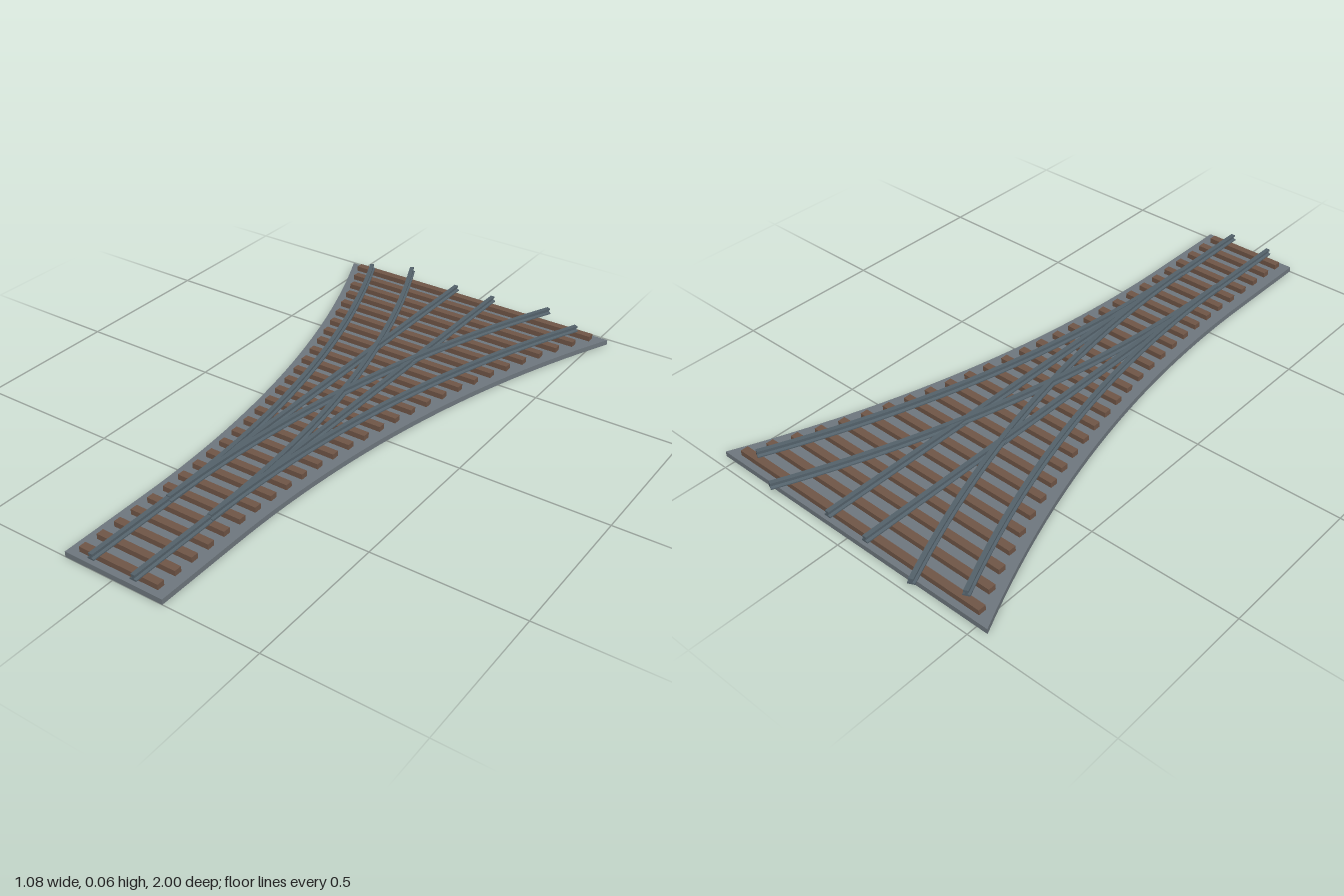
import * as THREE from 'three';

const R = 3.905;            // radius of the diverging tracks
const START = 0.678;        // z where the tracks part
const FRONT = 1, BACK = -0.965;
const SWEEP = 0.4335;       // angle turned by a diverging track
const GAUGE = 0.077;        // half the distance between rails

// sideways offset of the diverging centre line at a given z
const drift = (z) => {
  const d = Math.max(0, START - z);
  return R - Math.sqrt(R * R - d * d);
};

// rail cross-section with foot, web and head
function railProfile() {
  const half = [[0.0115, 0], [0.0115, 0.004], [0.0035, 0.007], [0.0035, 0.012], [0.0075, 0.014], [0.0075, 0.02]];
  const pts = half.concat(half.map(([x, y]) => [-x, y]).reverse());
  return new THREE.Shape(pts.map(([x, y]) => new THREE.Vector2(x, y)));
}

function straightRail(offset) {
  const geo = new THREE.ExtrudeGeometry(railProfile(), { depth: FRONT - BACK, bevelEnabled: false });
  return geo.translate(offset, 0.0355, BACK);
}

// sweep the rail section along an arc bending to one side
function curvedRail(side, offset) {
  const geo = new THREE.ExtrudeGeometry(railProfile(), { depth: 1, steps: 28, bevelEnabled: false });
  const p = geo.attributes.position;
  for (let i = 0; i < p.count; i++) {
    const a = p.getZ(i) * SWEEP;
    const u = offset - p.getX(i);
    p.setXYZ(i,
      side * R * (1 - Math.cos(a)) + u * Math.cos(a),
      p.getY(i) + 0.0385,
      START - R * Math.sin(a) + u * side * Math.sin(a));
  }
  geo.computeVertexNormals();
  return geo;
}

export function createModel() {
  const model = new THREE.Group();
  model.name = 'threeWayTrackSwitch';
  const stone = new THREE.MeshStandardMaterial({ color: 0x6e777e });
  stone.name = 'ballastGrey';
  const wood = new THREE.MeshStandardMaterial({ color: 0x6f5546 });
  wood.name = 'sleeperBrown';
  const steel = new THREE.MeshStandardMaterial({ color: 0x53616a });
  steel.name = 'railSteel';

  const add = (parent, name, geo, mat) => {
    const mesh = new THREE.Mesh(geo, mat);
    mesh.name = name;
    parent.add(mesh);
    return mesh;
  };

  // ballast bed, flaring along the curves
  const edge = [new THREE.Vector2(0.177, -FRONT)];
  const N = 28;
  for (let i = 0; i <= N; i++) {
    const z = START + (BACK - START) * i / N;
    edge.push(new THREE.Vector2(0.177 + drift(z), -z));
  }
  const mirrored = edge.map((v) => new THREE.Vector2(-v.x, v.y)).reverse();
  const bed = new THREE.ExtrudeGeometry(new THREE.Shape(edge.concat(mirrored)), { depth: 0.018, bevelEnabled: false });
  add(model, 'ballastBed', bed.rotateX(-Math.PI / 2), stone);

  // sleepers, widening with the bed
  const sleepers = new THREE.Group();
  sleepers.name = 'sleepers';
  model.add(sleepers);
  for (let i = 0; i < 28; i++) {
    const z = 0.964 - i * 0.0702;
    const tie = add(sleepers, 'sleeper', new THREE.BoxGeometry(2 * (0.143 + drift(z)), 0.018, 0.026), wood);
    tie.position.set(0, 0.027, z);
  }

  // one straight track and two diverging tracks
  const rails = new THREE.Group();
  rails.name = 'rails';
  model.add(rails);
  for (const offset of [-GAUGE, GAUGE]) {
    add(rails, 'straightRail', straightRail(offset), steel);
    for (const side of [-1, 1]) add(rails, 'divergingRail', curvedRail(side, offset), steel);
  }
  return model;
}
